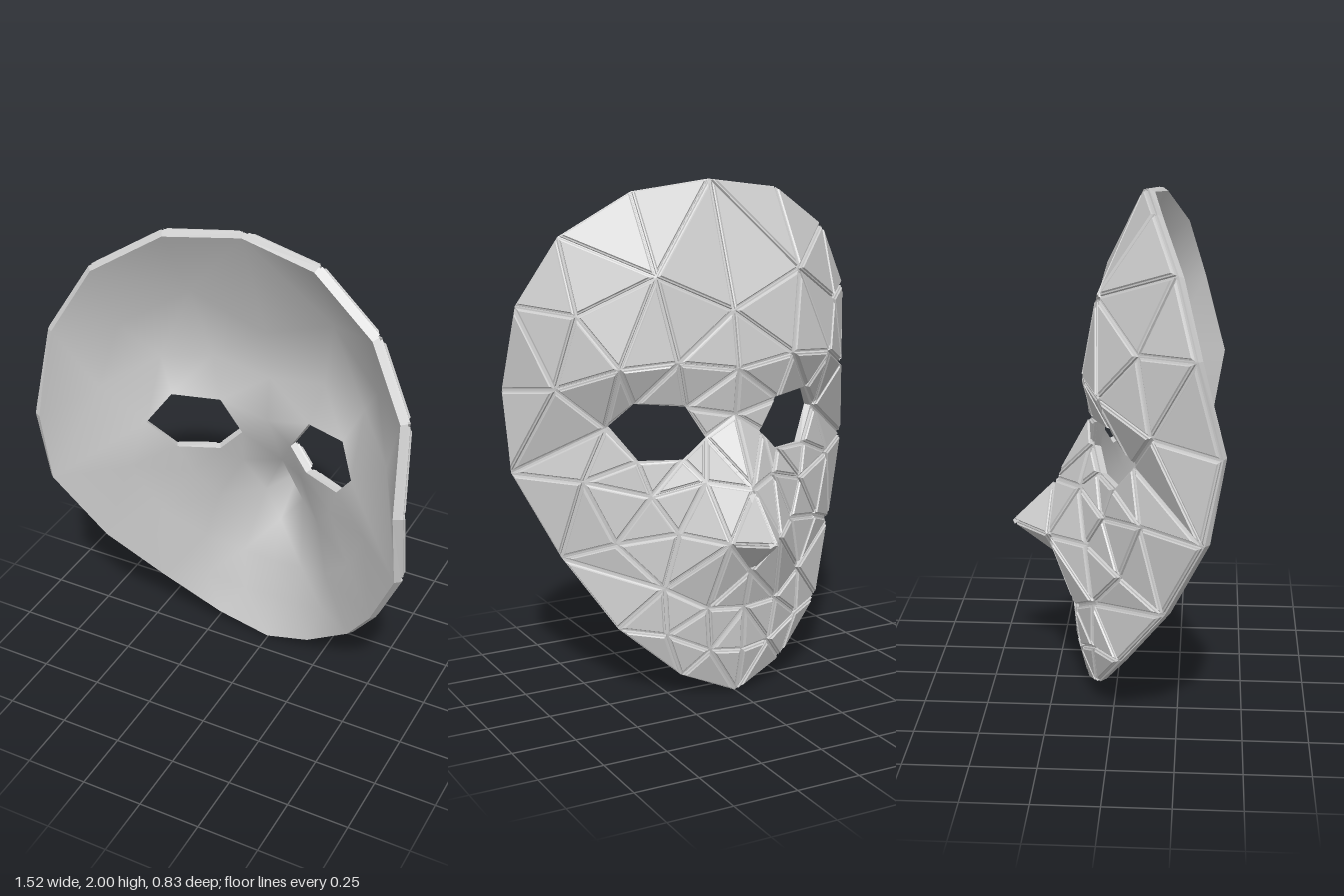
import * as THREE from 'three';

// Corner points of the left half (x, y, z); the mask looks toward -z
const RIM = [ // crown to chin
  [0, 2.008, 0.1], [0.315, 1.968, 0.145], [0.585, 1.8, 0.23], [0.738, 1.535, 0.305], [0.767, 1.2, 0.397],
  [0.76, 0.88, 0.335], [0.615, 0.555, 0.195], [0.452, 0.287, 0.025], [0.225, 0.085, -0.07], [0, -0.005, -0.115],
];
const MIDLINE = [ // forehead, bridge, nose tip, lips
  [0, 1.52, -0.095], [0, 1.3, -0.135], [0, 1.12, -0.11], [0, 0.86, -0.25],
  [0, 0.68, -0.43], [0, 0.53, -0.23], [0, 0.37, -0.18], [0, 0.19, -0.165],
];
const FOREHEAD = [
  [0.31, 1.66, -0.06], [0.57, 1.51, 0.1], [0.25, 1.34, -0.12], [0.46, 1.32, -0.05], [0.64, 1.23, 0.15],
];
const CHEEK = [ // cheekbone, nose side and wing, mouth
  [0.55, 0.87, 0.11], [0.33, 0.82, -0.04], [0.15, 0.88, -0.14], [0.45, 0.63, 0.03], [0.25, 0.68, -0.11],
  [0.11, 0.66, -0.27], [0.3, 0.46, -0.08], [0.15, 0.38, -0.16], [0.29, 0.27, -0.08], [0.13, 0.2, -0.14],
];
const EYE = [
  [0.465, 1.075, 0.08], [0.38, 1.17, 0], [0.2, 1.16, -0.08],
  [0.125, 1.045, -0.095], [0.21, 0.96, -0.065], [0.37, 0.953, 0],
];

const THICKNESS = 0.045; // plate face to inner skin
const GROOVE = 0.018; // depth of the seams

// Edges that belong to one triangle only
function boundaryEdges(tris) {
  const edges = new Map();
  for (const t of tris) {
    t.forEach((a, i) => edges.set(`${a}_${t[(i + 1) % 3]}`, [a, t[(i + 1) % 3]]));
  }
  return [...edges.values()].filter(([a, b]) => !edges.has(`${b}_${a}`));
}

// Whether p lies in the circle through a counter-clockwise triangle
function inCircle([a, b, c], p) {
  const [u, v, w] = [a, b, c].map((q) => {
    const x = q[0] - p[0], y = q[1] - p[1];
    return new THREE.Vector3(x, y, x * x + y * y);
  });
  return u.dot(v.cross(w)) > 0;
}

// Delaunay triangles of the points in the front plane, counter-clockwise
function triangulate(points) {
  const n = points.length;
  const all = [...points, [-900, -1000], [1100, -800], [50, 1100]];
  let tris = [[n, n + 1, n + 2]];
  points.forEach((p, i) => {
    const hit = tris.filter((t) => inCircle(t.map((k) => all[k]), p));
    tris = tris.filter((t) => !hit.includes(t));
    for (const [a, b] of boundaryEdges(hit)) tris.push([a, b, i]);
  });
  return tris.filter((t) => t.every((k) => k < n));
}

// Whole faceted face: the half is triangulated, the eye opened, then mirrored
function buildCage() {
  const half = [...RIM, ...MIDLINE, ...FOREHEAD, ...CHEEK, ...EYE];
  const eyeStart = half.length - EYE.length;
  const verts = half.map((p) => new THREE.Vector3(...p));
  const twin = half.map(([x, y, z], i) => (x === 0 ? i : verts.push(new THREE.Vector3(-x, y, z)) - 1));
  const tris = triangulate(half)
    .filter((t) => t.some((k) => k < eyeStart))
    .flatMap(([a, b, c]) => [[a, c, b], [twin[a], twin[b], twin[c]]]);
  return { verts, tris };
}

// Moves every point off the boundary part of the way to the mean of its neighbours
function relax(points, tris, amount) {
  const fixed = new Set(boundaryEdges(tris).flat());
  return points.map((p, i) => {
    if (fixed.has(i)) return p;
    const near = tris.filter((t) => t.includes(i)).flat().filter((k) => k !== i);
    const mean = near.reduce((sum, k) => sum.add(points[k]), new THREE.Vector3()).divideScalar(near.length);
    return p.clone().lerp(mean, amount);
  });
}

function toGeometry(points, index = null) {
  const g = new THREE.BufferGeometry().setFromPoints(points);
  g.setIndex(index);
  g.computeVertexNormals();
  return g;
}

// Triangle with its sides moved in by d and its plane lowered by depth
function insetTriangle(tri, normal, d, depth) {
  return tri.map((p, i) => {
    const u = tri[(i + 1) % 3].clone().sub(p).normalize();
    const v = tri[(i + 2) % 3].clone().sub(p).normalize();
    const s = u.clone().cross(v).length();
    return p.clone().addScaledVector(u.add(v), d / s).addScaledVector(normal, -depth);
  });
}

// One bevelled plate: stepped rings and a flat top
function platePoints(tri) {
  const n = new THREE.Triangle(...tri).getNormal(new THREE.Vector3());
  const rings = [[0.006, GROOVE + 0.012], [0.006, 0.008], [0.011, 0.006], [0.014, 0]]
    .map(([d, depth]) => insetTriangle(tri, n, d, depth));
  const out = [...rings[3]];
  for (let k = 0; k < 3; k++) {
    const lo = rings[k], hi = rings[k + 1];
    for (let i = 0; i < 3; i++) {
      const j = (i + 1) % 3;
      out.push(lo[i], lo[j], hi[j], lo[i], hi[j], hi[i]);
    }
  }
  return out;
}

export function createModel() {
  const group = new THREE.Group();
  const flat = new THREE.MeshStandardMaterial({ color: 0xcccccc, flatShading: true });
  const smooth = new THREE.MeshStandardMaterial({ color: 0xcccccc });
  const add = (name, geometry, material) => {
    const mesh = new THREE.Mesh(geometry, material);
    mesh.name = name;
    group.add(mesh);
  };

  // Layers of the mask, offset inward along the vertex normals
  const { verts, tris } = buildCage();
  const normals = toGeometry(verts, tris.flat()).attributes.normal;
  const offset = (d) => verts.map((v, i) => (
    new THREE.Vector3().fromBufferAttribute(normals, i).multiplyScalar(-d).add(v)));
  const seam = offset(GROOVE);
  const inner = relax(offset(THICKNESS), tris, 0.15);

  // Raised facets
  add('facetPlates', toGeometry(tris.flatMap((t) => platePoints(t.map((i) => verts[i])))), flat);

  // Floor of the seams between the plates
  add('seamFloor', toGeometry(seam, tris.flat()), flat);

  // Smooth inside of the mask
  add('innerSkin', toGeometry(inner, tris.flatMap(([a, b, c]) => [a, c, b])), smooth);

  // Walls closing the rim and the eye openings
  const walls = boundaryEdges(tris).flatMap(([a, b]) => (
    [seam[b], seam[a], inner[a], seam[b], inner[a], inner[b]]));
  add('rimAndEyeWalls', toGeometry(walls), flat);

  // Stand on the ground, centred front to back
  const box = new THREE.Box3().setFromObject(group);
  for (const mesh of group.children) {
    mesh.geometry.translate(0, -box.min.y, -(box.min.z + box.max.z) / 2);
  }
  return group;
}
